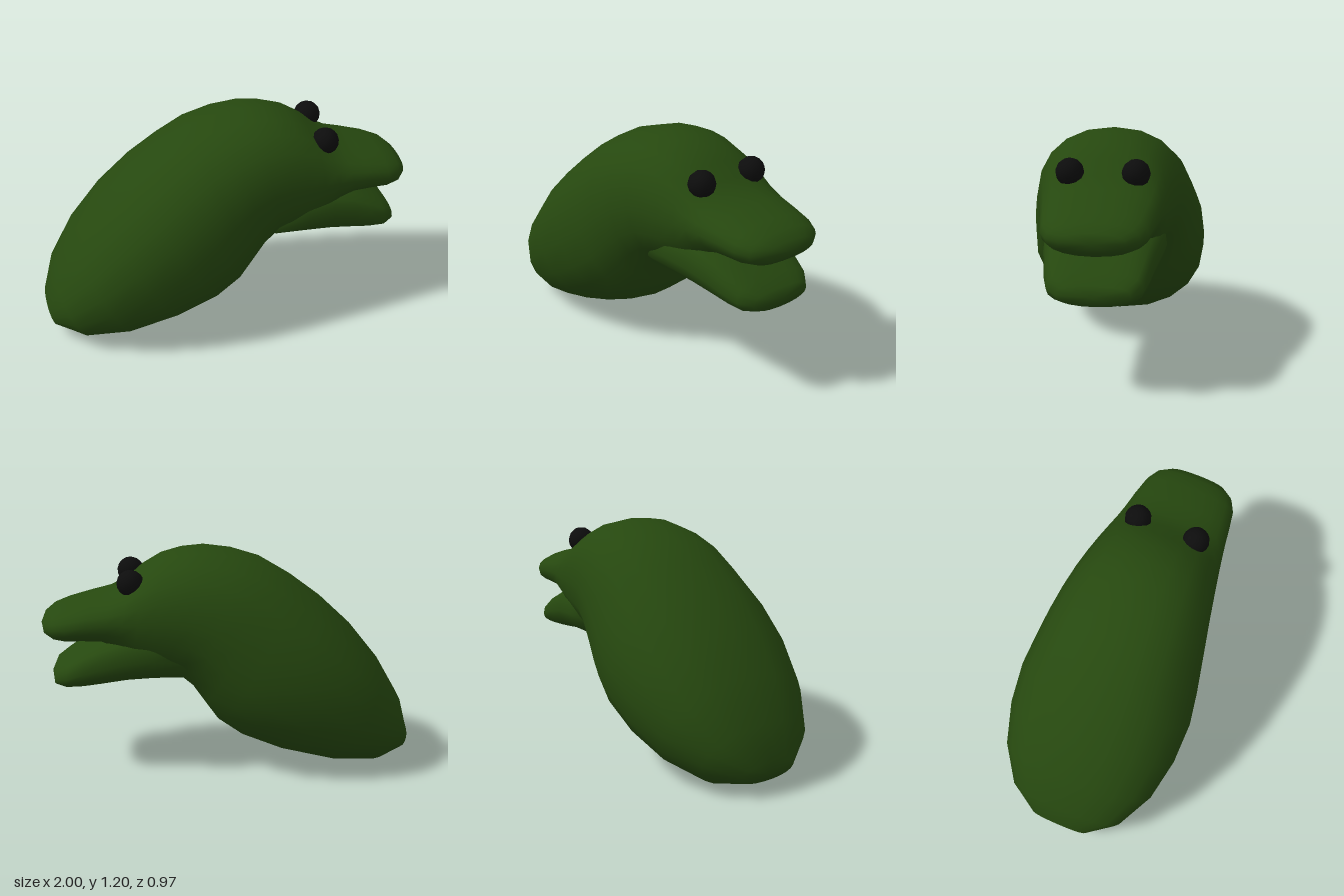
import * as THREE from 'three';
import { mergeVertices } from 'three/addons/utils/BufferGeometryUtils.js';

const SIDES = 20;

// Closed loft along +x. Each ring: [topX, topY, bottomX, bottomY, halfWidth].
// The exponents set how boxy the upper and lower halves of the rings are.
function loft(rings, topPower, bottomPower) {
  const positions = [], index = [];
  const power = (v, e) => Math.sign(v) * Math.abs(v) ** (2 / e);
  rings.forEach(([tx, ty, bx, by, w], i) => {
    for (let j = 0; j < SIDES; j++) {
      const a = (j / SIDES) * Math.PI * 2;
      const e = Math.cos(a) >= 0 ? topPower : bottomPower;
      const c = power(Math.cos(a), e) / 2, s = power(Math.sin(a), e);
      positions.push((tx + bx) / 2 + (tx - bx) * c, (ty + by) / 2 + (ty - by) * c, w * s);
      if (i < rings.length - 1) {
        const p = i * SIDES + j, q = i * SIDES + (j + 1) % SIDES;
        index.push(p, q, p + SIDES, q, q + SIDES, p + SIDES);
      }
    }
  });
  const geometry = new THREE.BufferGeometry();
  geometry.setAttribute('position', new THREE.Float32BufferAttribute(positions, 3));
  geometry.setIndex(index);
  const merged = mergeVertices(geometry, 1e-4);
  merged.computeVertexNormals();
  return merged;
}

export function createModel() {
  const group = new THREE.Group();
  const skin = new THREE.MeshStandardMaterial({ color: 0x26480f });
  skin.name = 'green skin';
  const black = new THREE.MeshStandardMaterial({ color: 0x0d0d0d });
  black.name = 'eye black';

  function add(name, geometry, material) {
    const mesh = new THREE.Mesh(geometry, material);
    mesh.name = name;
    group.add(mesh);
    return mesh;
  }

  // Neck, bending over into the head and the upper jaw
  add('neckAndHead', loft([
    [-0.98, 0.10, -0.98, 0.10, 0],
    [-1.00, 0.17, -0.95, 0.05, 0.16],
    [-0.95, 0.35, -0.78, 0.00, 0.32],
    [-0.83, 0.56, -0.53, 0.02, 0.43],
    [-0.67, 0.76, -0.28, 0.08, 0.478],
    [-0.50, 0.92, -0.06, 0.17, 0.485],
    [-0.34, 1.04, 0.07, 0.26, 0.46],
    [-0.19, 1.13, 0.14, 0.36, 0.435],
    [-0.03, 1.18, 0.20, 0.45, 0.41],
    [0.12, 1.20, 0.27, 0.51, 0.385],
    [0.24, 1.19, 0.34, 0.53, 0.365],
    [0.35, 1.16, 0.42, 0.55, 0.345],
    [0.45, 1.10, 0.52, 0.60, 0.325],
    [0.53, 1.03, 0.60, 0.67, 0.31],
    [0.62, 0.98, 0.68, 0.71, 0.295],
    [0.72, 0.955, 0.78, 0.715, 0.28],
    [0.85, 0.92, 0.87, 0.715, 0.26],
    [0.93, 0.89, 0.93, 0.725, 0.225],
    [0.98, 0.85, 0.975, 0.755, 0.16],
    [1.00, 0.80, 1.00, 0.80, 0],
  ], 2.2, 2.2), skin);

  // Lower jaw, rooted inside the head
  add('lowerJaw', loft([
    [0.18, 0.68, 0.18, 0.68, 0],
    [0.20, 0.76, 0.25, 0.50, 0.29],
    [0.40, 0.80, 0.40, 0.505, 0.315],
    [0.55, 0.78, 0.55, 0.495, 0.30],
    [0.68, 0.73, 0.68, 0.475, 0.275],
    [0.77, 0.685, 0.78, 0.463, 0.26],
    [0.86, 0.625, 0.87, 0.46, 0.235],
    [0.925, 0.58, 0.93, 0.48, 0.18],
    [0.95, 0.53, 0.95, 0.53, 0],
  ], 3, 2.2), skin);

  // Eyes on the brow
  for (const side of [1, -1]) {
    const eye = add(side > 0 ? 'rightEye' : 'leftEye', new THREE.SphereGeometry(0.072, 12, 8), black);
    eye.position.set(0.518, 1.04, side * 0.165);
    eye.rotation.z = -0.7;
  }
  return group;
}
